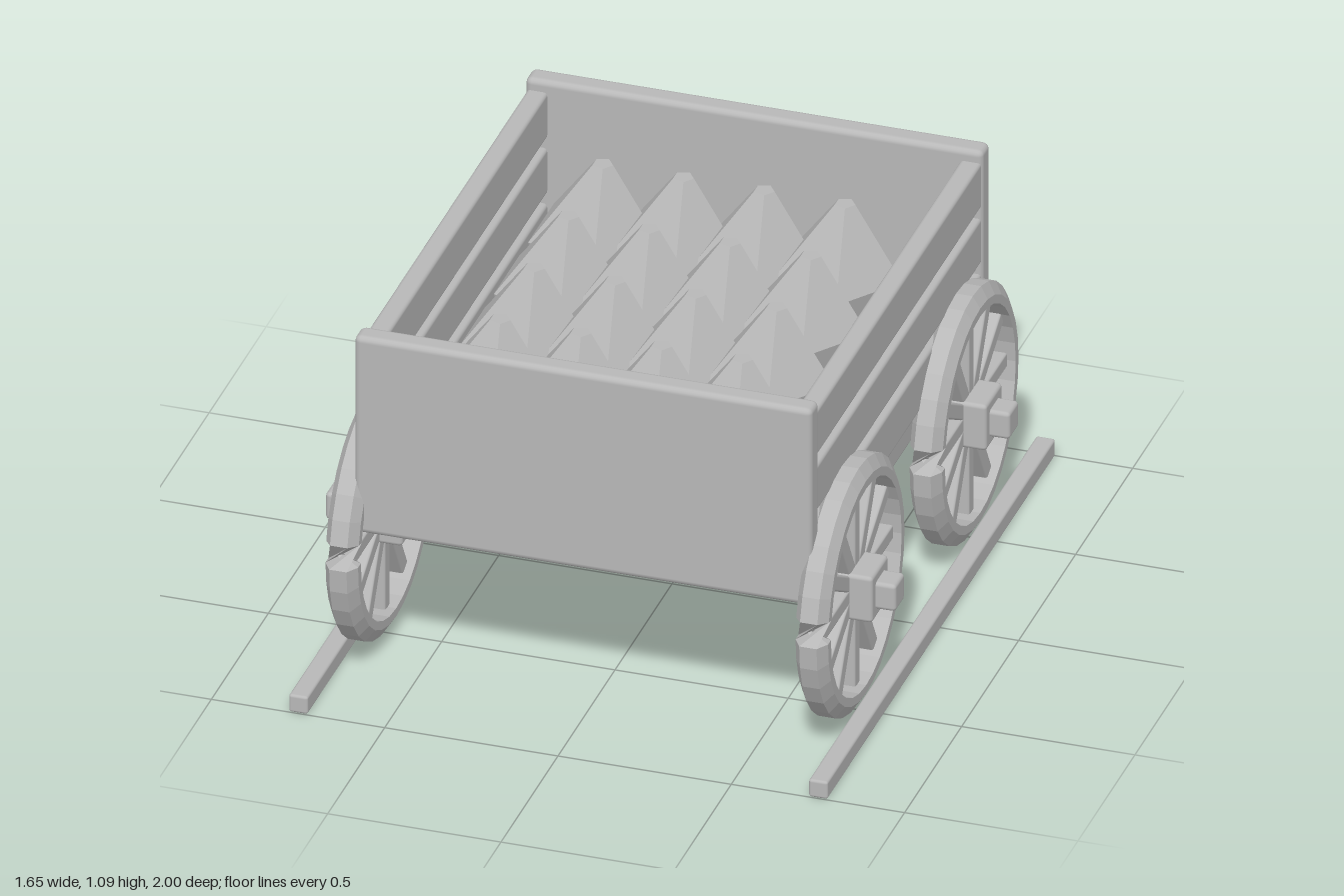
import * as THREE from 'three';
import { RoundedBoxGeometry } from 'three/addons/geometries/RoundedBoxGeometry.js';

const grey = new THREE.MeshStandardMaterial({ color: 0xb8b8b8, side: THREE.DoubleSide });
grey.name = 'plain grey';

function add(parent, name, geometry, x = 0, y = 0, z = 0) {
  const mesh = new THREE.Mesh(geometry, grey);
  mesh.name = name;
  mesh.position.set(x, y, z);
  parent.add(mesh);
  return mesh;
}

// Softly bevelled bar given by its extents
function bar(parent, name, x0, x1, y0, y1, z0, z1, bevel = 0.012) {
  const g = new RoundedBoxGeometry(x1 - x0, y1 - y0, z1 - z0, 2, bevel);
  return add(parent, name, g, (x0 + x1) / 2, (y0 + y1) / 2, (z0 + z1) / 2);
}

function facet(geometry) {
  const g = geometry.index ? geometry.toNonIndexed() : geometry;
  g.computeVertexNormals();
  return g;
}

// Wheel rim: chamfered section swept round x, its closing segment twisted half a turn
function rimGeometry() {
  const section = [[0.37, 0.025], [0.335, 0.047], [0.31, 0.047], [0.31, -0.047], [0.335, -0.047], [0.37, -0.025]];
  const n = section.length, segments = 32;
  const positions = [], index = [];
  for (let i = 0; i < segments; i++) {
    // starts level at the front and runs down, back and over the top
    const a = -(i / segments) * Math.PI * 2;
    for (const [r, x] of section) positions.push(x, r * Math.sin(a), r * Math.cos(a));
  }
  for (let i = 0; i < segments; i++) {
    const next = (i + 1) % segments;
    const twist = next === 0 ? n / 2 : 0;
    for (let j = 0; j < n; j++) {
      const k = (j + 1) % n;
      const a = i * n + j, b = i * n + k;
      const c = next * n + (k + twist) % n, d = next * n + (j + twist) % n;
      index.push(a, c, b, a, d, c);
    }
  }
  const g = new THREE.BufferGeometry();
  g.setAttribute('position', new THREE.Float32BufferAttribute(positions, 3));
  g.setIndex(index);
  return facet(g);
}

// Five-sided lump with a small flat top that leans slightly
function lumpGeometry() {
  const profile = [[0, 0.55], [0.12, 0.55], [0.19, 0.8], [0.03, 1.02], [0, 1.02]]
    .map(([r, y]) => new THREE.Vector2(r, y));
  const g = new THREE.LatheGeometry(profile, 5, Math.PI / 2);
  const p = g.attributes.position;
  for (let i = 0; i < p.count; i++) {
    if (p.getY(i) > 0.9) p.setX(i, p.getX(i) + 0.025);
  }
  return facet(g);
}

export function createModel() {
  const model = new THREE.Group();
  model.name = 'cart';

  // Cart body
  const body = new THREE.Group();
  body.name = 'body';
  model.add(body);
  bar(body, 'floor', -0.63, 0.63, 0.46, 0.545, -0.75, 0.75);
  bar(body, 'frontPanel', -0.66, 0.66, 0.47, 1.09, 0.715, 0.785, 0.018);
  bar(body, 'backPanel', -0.66, 0.66, 0.47, 1.09, -0.785, -0.715, 0.018);
  for (const s of [-1, 1]) {
    for (const [y0, y1] of [[0.56, 0.705], [0.735, 0.88], [0.91, 1.055]]) {
      bar(body, 'sidePlank', -0.03, 0.03, y0, y1, -0.74, 0.74).position.x = s * 0.625;
    }
  }

  // Load of faceted lumps
  const load = new THREE.Group();
  load.name = 'load';
  model.add(load);
  const lump = lumpGeometry();
  for (let i = 0; i < 4; i++) {
    for (let j = 0; j < 4; j++) add(load, 'lump', lump, -0.373 + i * 0.233, 0, -0.45 + j * 0.3);
  }

  // Axles and spoked wheels
  const rim = rimGeometry();
  const spoke = new RoundedBoxGeometry(0.045, 0.28, 0.045, 1, 0.006);
  spoke.translate(0, 0.185, 0);
  for (const z of [-0.5, 0.5]) {
    bar(model, 'axle', -0.6, 0.6, 0.35, 0.435, z - 0.042, z + 0.042);
    for (const s of [-1, 1]) {
      const wheel = new THREE.Group();
      wheel.name = s > 0 ? 'leftWheel' : 'rightWheel';
      wheel.position.set(s * 0.678, 0.392, z);
      model.add(wheel);
      add(wheel, 'rim', rim);
      for (let i = 0; i < 12; i++) add(wheel, 'spoke', spoke).rotation.x = i * Math.PI / 6;
      bar(wheel, 'hub', -0.0875, 0.0875, -0.072, 0.072, -0.072, 0.072);
      bar(wheel, 'axleEnd', -0.035, 0.035, -0.042, 0.042, -0.042, 0.042).position.x = s * 0.11;
    }
  }

  // Ground rails
  for (const s of [-1, 1]) {
    bar(model, 'rail', -0.0275, 0.0275, 0, 0.055, -1, 1, 0.008).position.x = s * 0.75;
  }
  return model;
}
